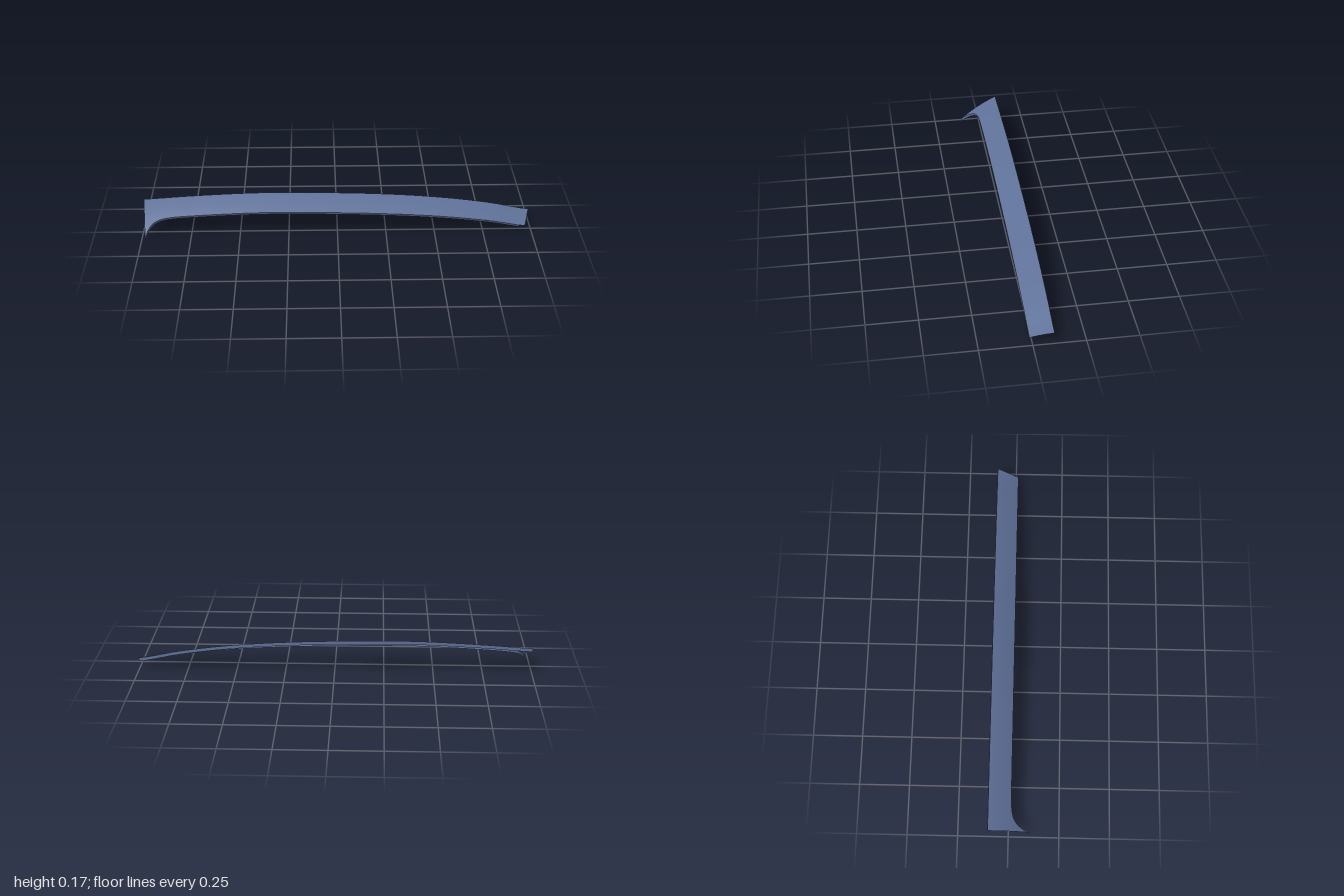
import * as THREE from 'three';
import { ParametricGeometry } from 'three/addons/geometries/ParametricGeometry.js';

const BACK = -0.1;

// Height of the back edge at even steps along x
const crown = new THREE.SplineCurve(
  [0.137, 0.15, 0.161, 0.168, 0.168, 0.164, 0.157, 0.145, 0.126, 0.098, 0.06]
    .map((y, i) => new THREE.Vector2(-1 + i * 0.2, y))
);

// Fades from 1 at the hooked end to 0 along the strip
const hook = (s) => Math.exp(-s * 2 / 0.035);

// Point on the skin: s runs along the strip, t from back edge to front edge
function skin(s, t, target) {
  const depth = t * (0.012 + 0.09 * hook(s) - BACK);
  const left = -1 + 0.1 * depth;
  const right = 1 - 0.27 * depth;
  const x = left + (right - left) * s;
  const flatten = 1 - 0.25 * Math.max(0, x) ** 2;
  const drop = (0.4 * depth + depth * depth) * flatten;
  const y = crown.getPoint((x + 1) / 2).y - drop;
  return target.set(x, y, BACK + depth);
}

// Packs the sections closer together towards the hook
const spread = (v) => 0.1 * v + 0.9 * v * v;

export function createModel() {
  const group = new THREE.Group();
  group.name = 'curvedTrimStrip';
  const material = new THREE.MeshStandardMaterial({ color: 0x5f7199, side: THREE.DoubleSide });

  const add = (name, rule, across) => {
    const mesh = new THREE.Mesh(new ParametricGeometry(rule, across, 90), material);
    mesh.name = name;
    group.add(mesh);
  };

  // Curved top skin with the hooked corner
  add('topSkin', (u, v, p) => skin(spread(v), u, p), 12);

  // Lip folded down along the back edge
  add('backLip', (u, v, p) => {
    skin(spread(v), 0, p);
    p.y -= 0.018 * (1 - u);
    p.z -= 0.002 * (1 - u);
  }, 1);

  // Lip folded down along the front edge, stopping short of the right end
  add('frontLip', (u, v, p) => {
    const s = spread(v) * 0.985;
    skin(s, 1, p);
    p.y -= u * (0.012 + 0.006 * hook(s));
    p.z -= u * 0.004 * (1 - hook(s));
  }, 1);

  return group;
}
